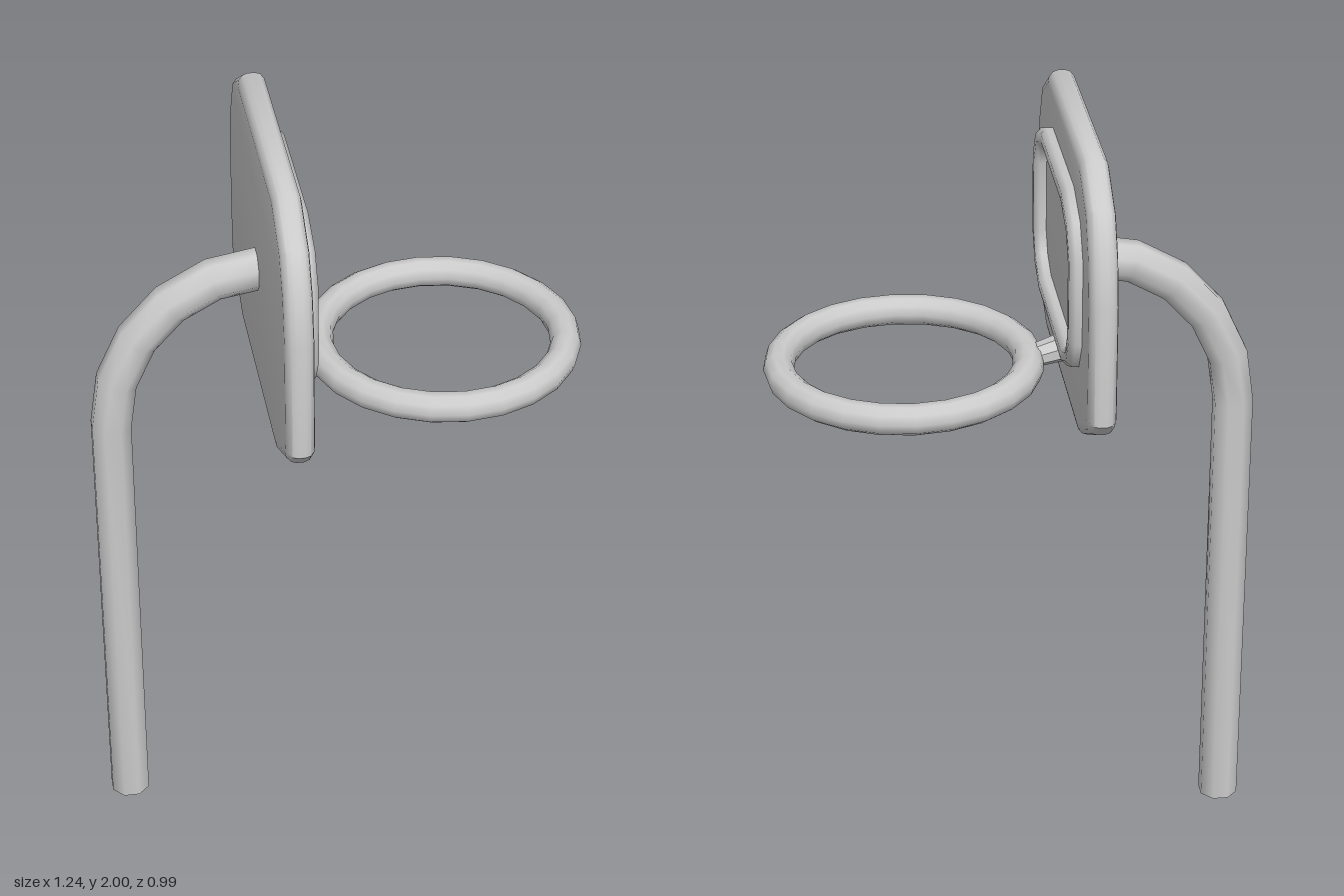
import * as THREE from 'three';
import { toCreasedNormals } from 'three/addons/utils/BufferGeometryUtils.js';

const V = (x, y, z) => new THREE.Vector3(x, y, z);

// Round tube along a planar polyline with mitred joints; n is the plane normal
function sweep(points, radius, sides, n, closed) {
  const pos = [], idx = [], N = points.length;
  for (let i = 0; i < N; i++) {
    const p = points[i];
    const prev = closed ? points[(i + N - 1) % N] : points[Math.max(i - 1, 0)];
    const next = closed ? points[(i + 1) % N] : points[Math.min(i + 1, N - 1)];
    const t0 = p.clone().sub(prev).normalize(), t1 = next.clone().sub(p).normalize();
    const t = t0.clone().add(t1).normalize();
    const mitre = 1 / t.dot(t1.lengthSq() > 0 ? t1 : t0);
    const side = n.clone().cross(t).multiplyScalar(mitre);
    for (let j = 0; j < sides; j++) {
      const a = ((j + 0.5) / sides) * Math.PI * 2;
      const v = p.clone().addScaledVector(side, radius * Math.cos(a)).addScaledVector(n, radius * Math.sin(a));
      pos.push(v.x, v.y, v.z);
    }
  }
  for (let i = 0; i < (closed ? N : N - 1); i++) {
    for (let j = 0; j < sides; j++) {
      const k = (j + 1) % sides, r0 = i * sides, r1 = ((i + 1) % N) * sides;
      idx.push(r0 + j, r0 + k, r1 + j, r0 + k, r1 + k, r1 + j);
    }
  }
  const g = new THREE.BufferGeometry();
  g.setAttribute('position', new THREE.Float32BufferAttribute(pos, 3));
  g.setIndex(idx);
  g.computeVertexNormals();
  return g;
}

// Mirrors the half outline (top to bottom) into a full loop of [z, y] pairs
const mirrored = (half) => [...half, ...half.map(([z, y]) => [-z, y]).reverse()];

export function createModel() {
  const group = new THREE.Group();
  const material = new THREE.MeshStandardMaterial({ color: 0xcccccc });
  const add = (name, geometry) => {
    const mesh = new THREE.Mesh(geometry, material);
    mesh.name = name;
    group.add(mesh);
    return mesh;
  };

  // Pole: straight post, then a quarter bend into the back of the board
  const path = [V(-0.575, 0, 0)];
  for (let i = 0; i <= 5; i++) {
    const a = (i / 5) * Math.PI / 2;
    path.push(V(-0.19 - 0.385 * Math.cos(a), 1.2 + 0.42 * Math.sin(a), 0));
  }
  add('pole', sweep(path, 0.053, 8, V(0, 0, 1), false));
  const cap = add('poleBase', new THREE.CircleGeometry(0.053, 8, Math.PI / 8).rotateX(Math.PI / 2));
  cap.position.x = -0.575;

  // Backboard: rounded slab facing +x
  const bevel = 0.03;
  const outline = mirrored([[0.29, 2], [0.42, 1.92], [0.472, 1.82], [0.494, 1.7],
    [0.494, 1.395], [0.462, 1.36], [0.295, 1.275]]);
  const board = new THREE.ExtrudeGeometry(new THREE.Shape(outline.map(([z, y]) => new THREE.Vector2(z, y))), {
    depth: 0.018, bevelThickness: 0.026, bevelSize: bevel, bevelOffset: -bevel, bevelSegments: 3,
  });
  board.rotateY(Math.PI / 2).translate(-0.175, 0, 0);
  add('backboard', toCreasedNormals(board, 0.7));

  // Raised target frame on the board
  const frame = mirrored([[0.185, 1.865], [0.285, 1.825], [0.33, 1.755],
    [0.33, 1.555], [0.29, 1.49], [0.21, 1.455]]);
  add('targetFrame', sweep(frame.map(([z, y]) => V(-0.125, y, z - 0.007)), 0.027, 8, V(1, 0, 0), true));

  // Hoop
  const hoop = add('hoop', new THREE.TorusGeometry(0.3125, 0.039, 10, 24).rotateX(Math.PI / 2));
  hoop.position.set(0.267, 1.36, -0.016);

  // Bracket joining the hoop to the board
  const bracket = new THREE.CylinderGeometry(0.034, 0.044, 0.1, 8, 1).rotateY(Math.PI / 8);
  bracket.scale(0.8, 1, 1).rotateZ(-Math.PI / 2 - 0.28);
  add('bracket', toCreasedNormals(bracket, 0.6)).position.set(-0.095, 1.37, -0.016);

  return group;
}
